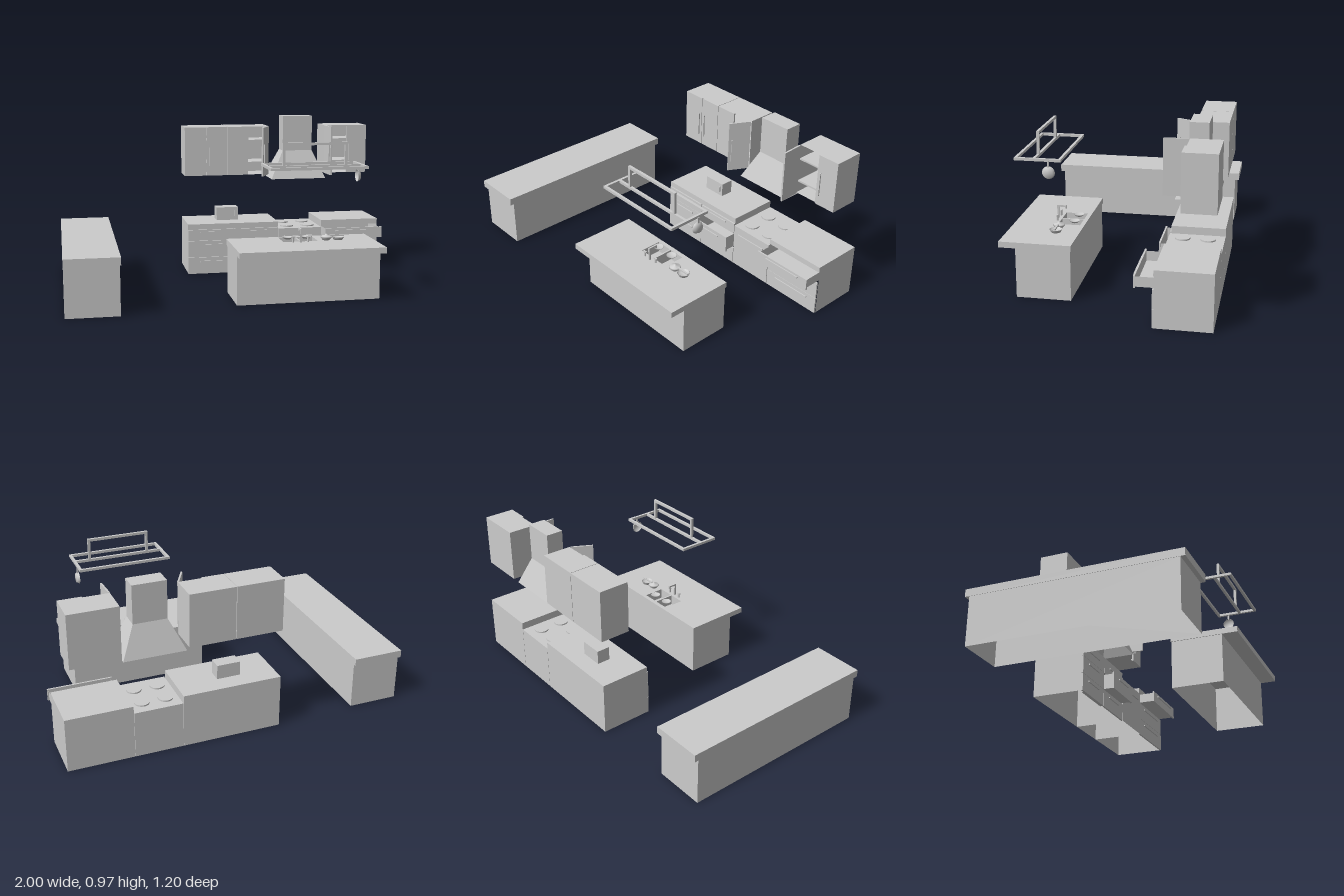
import * as THREE from 'three';

const mat = new THREE.MeshStandardMaterial({ color: 0xcccccc, side: THREE.DoubleSide });

export function createModel() {
  const root = new THREE.Group();

  const group = (name, parent = root) => {
    const g = new THREE.Group();
    g.name = name;
    parent.add(g);
    return g;
  };
  const add = (parent, name, geo, x = 0, y = 0, z = 0) => {
    const m = new THREE.Mesh(geo, mat);
    m.name = name;
    m.position.set(x, y, z);
    parent.add(m);
    return m;
  };
  // Box given by its limits on each axis
  const box = (parent, name, x0, x1, y0, y1, z0, z1) =>
    add(parent, name, new THREE.BoxGeometry(x1 - x0, y1 - y0, z1 - z0),
      (x0 + x1) / 2, (y0 + y1) / 2, (z0 + z1) / 2);
  // Box lacking some sides: 0 +x, 1 -x, 2 top, 3 bottom, 4 front, 5 back
  const shell = (parent, name, x0, x1, y0, y1, z0, z1, missing) => {
    const m = box(parent, name, x0, x1, y0, y1, z0, z1);
    const index = Array.from(m.geometry.index.array);
    m.geometry.setIndex(index.filter((_, i) => !missing.includes(Math.floor(i / 6))));
    m.geometry.clearGroups();
    return m;
  };
  const disc = (parent, name, r, h, x, y, z) =>
    add(parent, name, new THREE.CylinderGeometry(r, r, h, 24), x, y + h / 2, z);
  const lathe = (parent, name, pts, x, y, z) =>
    add(parent, name, new THREE.LatheGeometry(pts.map(p => new THREE.Vector2(...p)), 24), x, y, z);

  // Long side counter
  const bar = group('sideCounter');
  box(bar, 'sideCounterTop', -1, -0.7, 0.28, 0.323, -0.6, 0.6);
  shell(bar, 'sideCounterBase', -0.998, -0.705, 0, 0.28, -0.575, 0.575, [2, 3]);

  // Island: worktop with two sink openings
  const island = group('island');
  const sinks = [[0.23, 0.325], [0.335, 0.43]];
  const rect = (T, x0, x1, z0, z1) => new T([[x0, z0], [x1, z0], [x1, z1], [x0, z1]]
    .map(([x, z]) => new THREE.Vector2(x, -z)));
  const topShape = rect(THREE.Shape, -0.07, 0.755, 0.18, 0.575);
  sinks.forEach(([a, b]) => topShape.holes.push(rect(THREE.Path, a, b, 0.205, 0.33)));
  const topGeo = new THREE.ExtrudeGeometry(topShape, { depth: 0.033, bevelEnabled: false });
  add(island, 'islandTop', topGeo.rotateX(-Math.PI / 2), 0, 0.28, 0);
  shell(island, 'islandBase', -0.066, 0.75, 0, 0.28, 0.184, 0.484, [2, 3]);
  sinks.forEach(([a, b]) => {
    shell(island, 'sinkBowl', a, b, 0.25, 0.313, 0.205, 0.33, [2]);
    disc(island, 'sinkDrain', 0.02, 0.003, (a + b) / 2, 0.25, 0.27);
  });

  // Faucet and taps
  const faucet = group('faucet', island);
  box(faucet, 'faucetPost', 0.319, 0.329, 0.313, 0.39, 0.35, 0.36);
  box(faucet, 'faucetSpout', 0.319, 0.329, 0.38, 0.39, 0.305, 0.35);
  box(faucet, 'faucetNozzle', 0.319, 0.329, 0.37, 0.38, 0.305, 0.315);
  [0.28, 0.368].forEach(x => {
    disc(faucet, 'tapStem', 0.006, 0.03, x, 0.313, 0.35);
    box(faucet, 'tapHandle', x - 0.012, x + 0.012, 0.338, 0.345, 0.346, 0.354);
  });

  // Dishes beside the sink
  const dish = [[0, 0], [0.018, 0], [0.03, 0.01], [0.028, 0.012], [0.016, 0.004], [0, 0.004]];
  [[0.275, 0.245], [0.385, 0.245]].forEach(([x, z]) => lathe(island, 'dish', dish, x, 0.313, z));
  const pan = [[0, 0], [0.026, 0], [0.035, 0.016], [0.033, 0.017], [0.024, 0.003], [0, 0.003]];
  lathe(island, 'pan', pan, 0.555, 0.313, 0.31);
  lathe(island, 'pot', [[0, 0], [0.02, 0], [0.034, 0.016], [0.03, 0.022], [0.008, 0.028],
    [0.007, 0.034], [0, 0.034]], 0.485, 0.313, 0.31);
  box(island, 'panHandle', 0.505, 0.59, -0.004, 0.004, 0.305, 0.315).position.y = 0.337;

  // Hanging rack
  const rack = group('hangingRack');
  const t = 0.015;
  [0.247, 0.385, 0.485].forEach(z => box(rack, 'rackRail', 0.115, 0.665, 0.74, 0.755, z, z + t));
  [0.115, 0.65].forEach(x => box(rack, 'rackEnd', x, x + t, 0.74, 0.755, 0.247, 0.5));
  [0.205, 0.56].forEach(x => box(rack, 'rackPost', x, x + t, 0.755, 0.88, 0.385, 0.4));
  box(rack, 'rackTopBar', 0.205, 0.575, 0.865, 0.88, 0.385, 0.4);
  const hung = lathe(rack, 'hangingPan', pan, 0.675, 0.68, 0.315);
  hung.rotation.z = Math.PI / 2;
  box(rack, 'hangingPanHandle', 0.66, 0.668, 0.71, 0.745, 0.31, 0.32);

  // Lower cabinets: open-bottomed bodies, with drawers that may be pulled out
  const lower = group('lowerCabinets');
  const front = -0.29;
  const drawer = (x0, x1, y0, y1, handleWidth, out = 0) => {
    const g = group('drawer', lower), zf = front + out, c = (x0 + x1) / 2;
    box(g, 'drawerFront', x0, x1, y0, y1, zf - 0.01, zf);
    if (out) shell(g, 'drawerTray', x0 + 0.008, x1 - 0.008, y0 + 0.005, y1 - 0.008,
      front - 0.15, zf - 0.01, [2, 4]);
    const y = y0 + (y1 - y0) * 0.75;
    box(g, 'drawerHandle', c - handleWidth / 2, c + handleWidth / 2, y - 0.004, y + 0.004, zf, zf + 0.007);
  };
  const rows = [[0, 0.103], [0.105, 0.208], [0.21, 0.278]];
  [[-0.225, 0.348], [0.628, 1]].forEach(([a, b]) => {
    box(lower, 'counterTop', a, b, 0.28, 0.313, -0.6, -0.297);
    shell(lower, 'cabinetBody', a, b, 0, 0.28, -0.6, -0.3, [2, 3, 4]);
  });
  rows.forEach(([y0, y1], i) => {
    drawer(-0.225, 0.06, y0, y1, 0.14);
    drawer(0.064, 0.346, y0, y1, 0.14, i === 1 ? 0.063 : 0);
    drawer(0.63, 0.998, y0, y1, 0.24, i === 2 ? 0.095 : 0);
  });

  // Cooker with hot plates
  const cooker = group('cooker');
  shell(cooker, 'cookerBody', 0.35, 0.626, 0, 0.27, -0.6, front, [3]);
  box(cooker, 'cookerHandle', 0.385, 0.585, 0.215, 0.223, front, front + 0.007);
  [0.42, 0.555].forEach(x => [-0.51, -0.37].forEach(z =>
    disc(cooker, 'hotPlate', 0.042, 0.008, x, 0.27, z)));

  // Small oven on the counter
  const oven = group('counterOven');
  box(oven, 'ovenBody', -0.025, 0.112, 0.313, 0.395, -0.495, -0.416);
  box(oven, 'ovenHandle', 0.088, 0.096, 0.338, 0.376, -0.416, -0.41);

  // Wall cabinets: open carcass with shelves; each door is hinged on one edge
  const upper = group('wallCabinets');
  const y0 = 0.6, y1 = 0.905, zFront = -0.42;
  const carcass = (a, b) => {
    shell(upper, 'wallCabinetBody', a, b, y0, y1, -0.6, zFront - 0.01, [4]);
    [0.67, 0.81].forEach(y => box(upper, 'shelf', a + 0.003, b - 0.003, y, y + 0.01, -0.598, zFront - 0.015));
  };
  // dir is the way the door runs from its hinge along x
  const door = (hinge, width, dir, angle = 0) => {
    const g = group('door', upper);
    g.position.set(hinge, 0, zFront - 0.005);
    g.rotation.y = -dir * angle;
    const [a, b] = dir > 0 ? [0, width] : [-width, 0];
    box(g, 'doorPanel', a, b, y0, y1, -0.005, 0.005);
    const h = dir * (width - 0.02);
    box(g, 'doorHandle', h - 0.004, h + 0.004, 0.66, 0.8, 0.005, 0.012);
  };
  carcass(-0.225, 0.046);
  carcass(0.049, 0.312);
  carcass(0.68, 0.955);
  door(-0.225, 0.134, 1);
  door(0.046, 0.134, -1);
  door(0.049, 0.13, 1);
  door(0.308, 0.128, -1, 1.08);
  door(0.682, 0.13, 1, 1.52);
  door(0.955, 0.13, -1);

  // Extractor hood: flared skirt, open below, and a chimney
  const hood = group('extractorHood');
  const skirt = shell(hood, 'hoodSkirt', 0.402, 0.592, 0.575, 0.75, -0.518, -0.416, [2, 3]);
  const p = skirt.geometry.attributes.position;
  for (let i = 0; i < p.count; i++) if (p.getY(i) < 0) {
    p.setX(i, Math.sign(p.getX(i)) * 0.175 - 0.004);
    p.setZ(i, Math.sign(p.getZ(i)) * 0.112);
  }
  skirt.geometry.computeVertexNormals();
  shell(hood, 'hoodChimney', 0.402, 0.592, 0.75, 0.968, -0.518, -0.416, [3]);

  return root;
}
